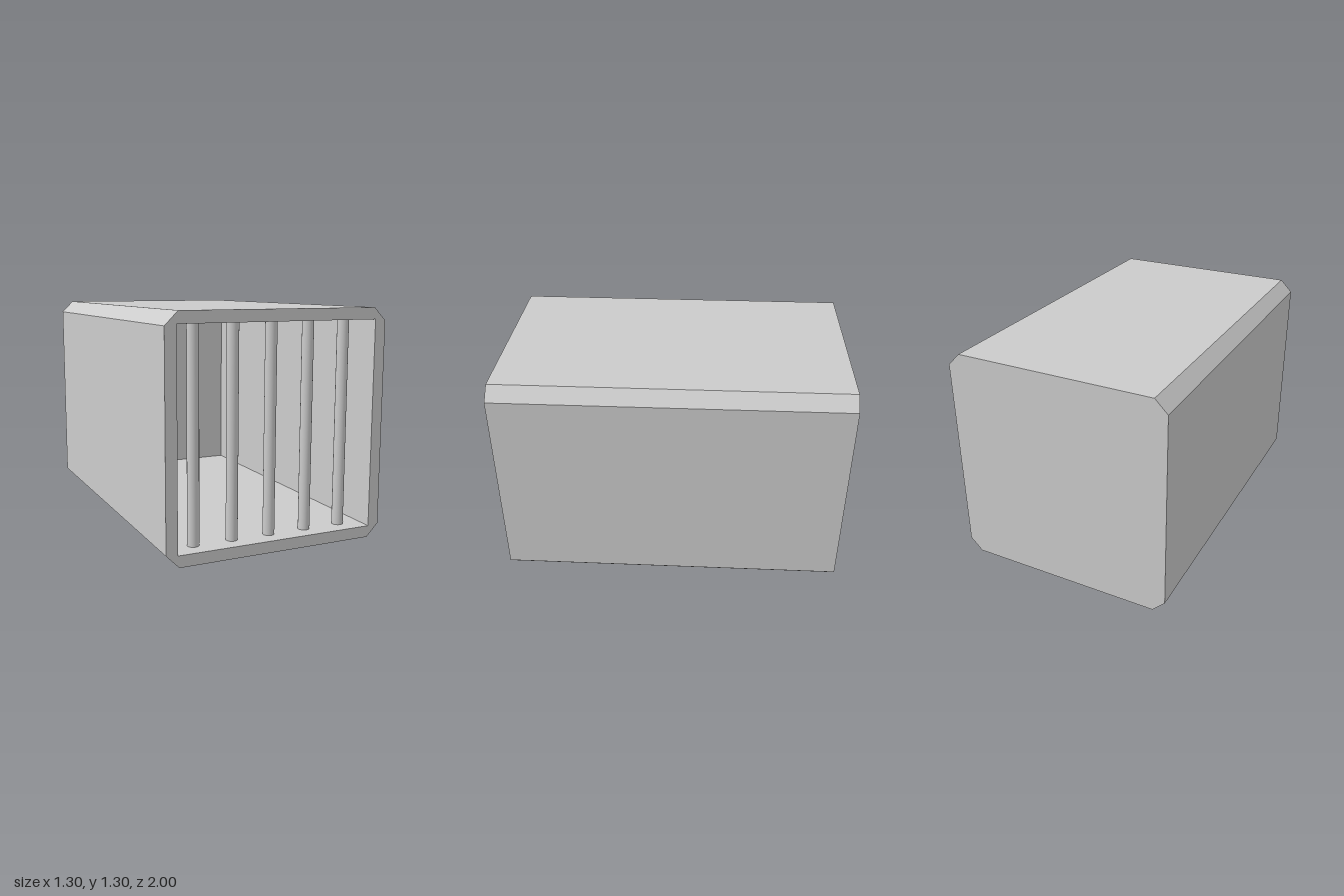
import * as THREE from 'three';

const HALF = 0.65;     // half width and half height of the case
const CHAMFER = 0.073; // cut corners along the length
const WALL = 0.065;    // wall thickness
const DEPTH = 2;

// Square outline with cut corners, centred on the origin
function outline() {
  const h = HALF, c = HALF - CHAMFER;
  return new THREE.Shape([
    [c, -h], [h, -c], [h, c], [c, h], [-c, h], [-h, c], [-h, -c], [-c, -h],
  ].map(([x, y]) => new THREE.Vector2(x, y)));
}

export function createModel() {
  const group = new THREE.Group();
  const material = new THREE.MeshStandardMaterial({ color: 0xcccccc });

  const add = (name, geometry, x, y, z) => {
    const mesh = new THREE.Mesh(geometry, material);
    mesh.name = name;
    mesh.position.set(x, y, z);
    group.add(mesh);
  };
  const extrude = (shape, depth) =>
    new THREE.ExtrudeGeometry(shape, { depth, bevelEnabled: false });

  // Hollow case, open at the front
  const inner = HALF - WALL;
  const shell = outline();
  shell.holes.push(new THREE.Path([
    new THREE.Vector2(-inner, -inner), new THREE.Vector2(-inner, inner),
    new THREE.Vector2(inner, inner), new THREE.Vector2(inner, -inner),
  ]));
  add('shell', extrude(shell, DEPTH - WALL), 0, HALF, -DEPTH / 2 + WALL);

  // Closed back
  add('backWall', extrude(outline(), WALL), 0, HALF, -DEPTH / 2);

  // Row of upright bars just inside the opening
  const bar = new THREE.CylinderGeometry(0.0325, 0.0325, 2 * inner, 32, 1, true);
  for (let i = -2; i <= 2; i++) {
    add(`bar${i + 3}`, bar, i * 0.226, HALF, 0.887);
  }

  return group;
}
